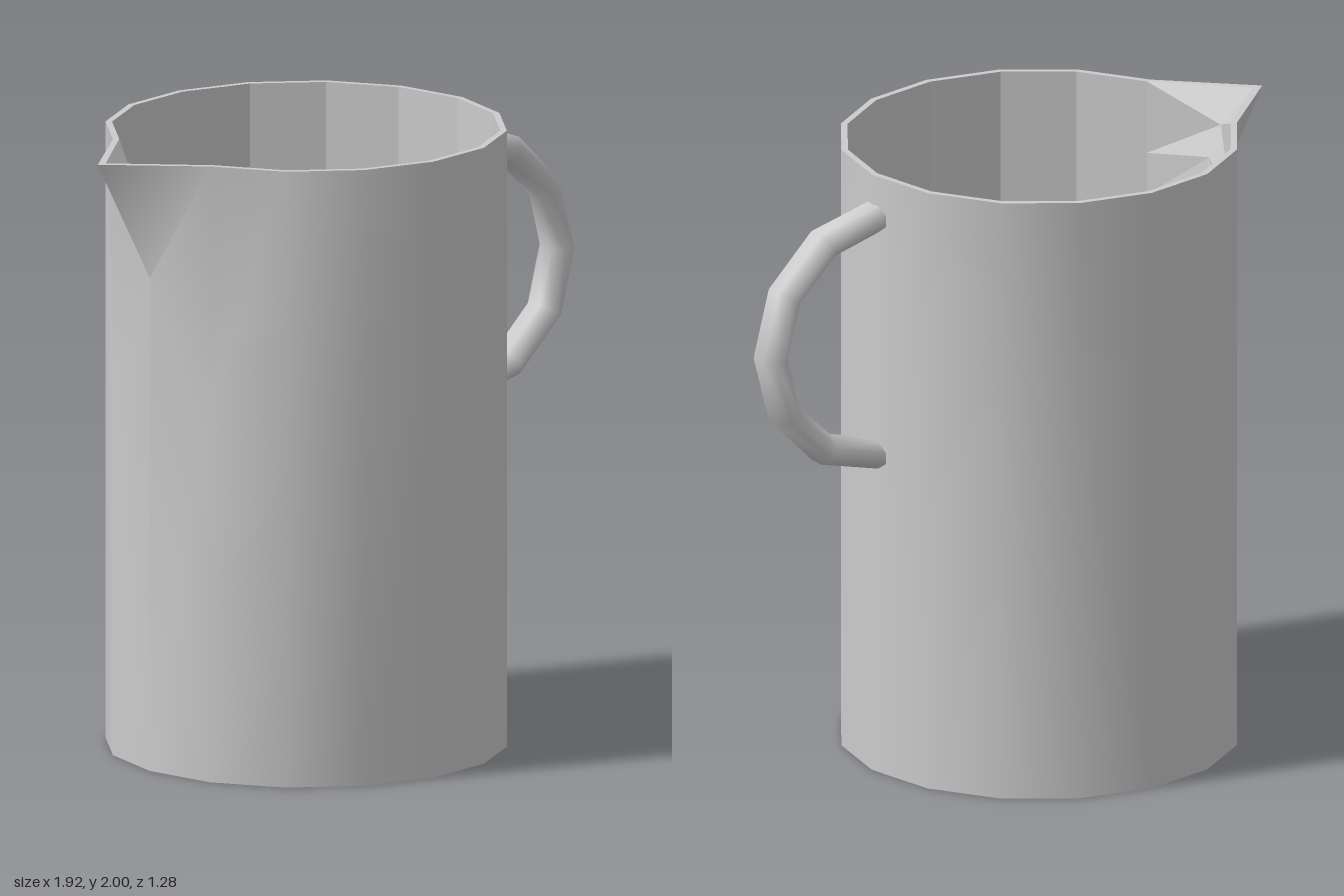
import * as THREE from 'three';
import { toCreasedNormals } from 'three/addons/utils/BufferGeometryUtils.js';

const SIDES = 16, CX = -0.112, R = 0.638, R_IN = 0.617, H = 2, FLOOR = 0.02;
const material = new THREE.MeshStandardMaterial({ color: 0xcccccc });
const flatMaterial = new THREE.MeshStandardMaterial({ color: 0xcccccc, flatShading: true });

// One level of the jug wall; the corner at -x can be moved to form the spout
function ring(r, y, spoutX = CX - r, spoutY = y) {
  return Array.from({ length: SIDES }, (_, i) => {
    const a = (i / SIDES) * Math.PI * 2;
    return i === SIDES / 2
      ? [spoutX, spoutY, 0]
      : [CX + r * Math.cos(a), y, r * Math.sin(a)];
  });
}

// Skin between successive rings, mirrored diagonals on either side of the spout
function skin(rings, outward) {
  const pos = [];
  const tri = (a, b, c) => pos.push(...a, ...(outward ? c : b), ...(outward ? b : c));
  for (let k = 0; k < rings.length - 1; k++) {
    for (let i = 0; i < SIDES; i++) {
      const j = (i + 1) % SIDES;
      const a0 = rings[k][i], b0 = rings[k][j], a1 = rings[k + 1][i], b1 = rings[k + 1][j];
      if (i < SIDES / 2) {
        tri(a0, b0, a1);
        tri(b0, b1, a1);
      } else {
        tri(a0, b0, b1);
        tri(a0, b1, a1);
      }
    }
  }
  const geo = new THREE.BufferGeometry();
  geo.setAttribute('position', new THREE.Float32BufferAttribute(pos, 3));
  geo.computeVertexNormals();
  return geo;
}

// Elliptical eight-sided tube along a path in the xy plane, mitred at each joint
function handleGeometry(path, halfThick, halfWide) {
  const N = 8, pos = [], index = [];
  const pts = path.map(([x, y]) => new THREE.Vector2(x, y));
  pts.forEach((p, k) => {
    const first = k === 0, last = k === pts.length - 1;
    let n, stretch = 1;
    if (first || last) {
      n = new THREE.Vector2(0, first ? 1 : -1); // ends cut upright against the wall
    } else {
      const d0 = p.clone().sub(pts[k - 1]).normalize();
      const d1 = pts[k + 1].clone().sub(p).normalize();
      const t = d0.clone().add(d1).normalize();
      n = new THREE.Vector2(-t.y, t.x);
      stretch = 1 / t.dot(d0);
    }
    for (let i = 0; i < N; i++) {
      const a = ((i + 0.5) / N) * Math.PI * 2, c = Math.cos(Math.PI / N);
      const u = (Math.cos(a) / c) * halfThick * stretch;
      pos.push(p.x + n.x * u, p.y + n.y * u, (Math.sin(a) / c) * halfWide);
      if (!last) {
        const a0 = k * N + i, b0 = k * N + ((i + 1) % N);
        index.push(a0, b0, a0 + N, b0, b0 + N, a0 + N);
      }
    }
  });
  // End caps
  const end = (pts.length - 1) * N;
  for (let i = 1; i < N - 1; i++) index.push(0, i + 1, i, end, end + i, end + i + 1);
  const geo = new THREE.BufferGeometry();
  geo.setAttribute('position', new THREE.Float32BufferAttribute(pos, 3));
  geo.setIndex(index);
  return toCreasedNormals(geo, 1.2);
}

export function createModel() {
  const group = new THREE.Group();
  const add = (name, geo, mat = material) => {
    const mesh = new THREE.Mesh(geo, mat);
    mesh.name = name;
    group.add(mesh);
    return mesh;
  };

  // Outer wall with the spout drawn out of its top
  const outerTop = ring(R, H, -0.963);
  const outer = skin([ring(R, 0), ring(R, 1.2, CX - R, 1.6), outerTop], true);
  add('outerWall', toCreasedNormals(outer, 0.8));

  // Faceted inner wall, the spout curving out in pleats
  const innerTop = ring(R_IN, H, -0.93);
  const inner = [
    ring(R_IN, FLOOR),
    ring(R_IN, 1.5, CX - R_IN, 1.6),
    ring(R_IN, 1.62, -0.76, 1.8),
    ring(R_IN, 1.76, -0.805, 1.9),
    innerTop,
  ];
  add('innerWall', skin(inner, false), flatMaterial);

  add('rim', skin([outerTop, innerTop], true), flatMaterial);

  // Floor inside and base underneath
  const floor = add('floor', new THREE.CircleGeometry(R_IN, SIDES));
  floor.rotation.x = -Math.PI / 2;
  floor.position.set(CX, FLOOR, 0);
  const base = add('base', new THREE.CircleGeometry(R, SIDES));
  base.rotation.x = Math.PI / 2;
  base.position.set(CX, 0, 0);

  // Handle on the side opposite the spout
  const upper = [[0.515, 1.858], [0.712, 1.805], [0.86, 1.657]];
  const lower = upper.map(([x, y]) => [x, 2.92 - y]).reverse();
  add('handle', handleGeometry([...upper, [0.912, 1.46], ...lower], 0.045, 0.063));

  return group;
}
